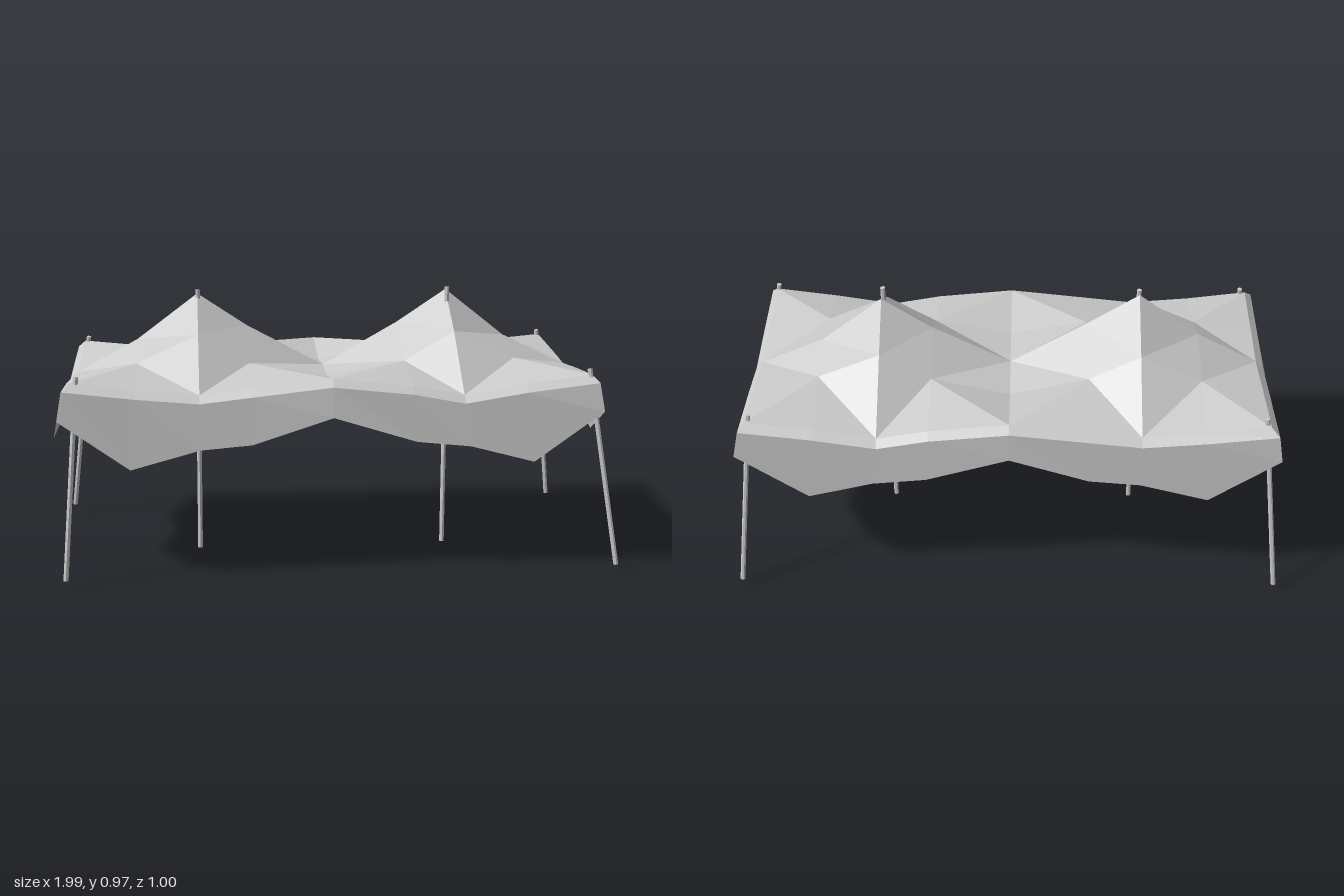
import * as THREE from 'three';

const V = (x, y, z) => new THREE.Vector3(x, y, z);
const metal = new THREE.MeshStandardMaterial({ color: 0xcccccc, flatShading: true });
const cloth = new THREE.MeshStandardMaterial({ color: 0xcccccc, flatShading: true, side: THREE.DoubleSide });

// Roof grid: columns along x, rows from back to front
const X = [-0.92, -0.7, -0.48, -0.3, -0.02, 0.26, 0.44, 0.66, 0.89];
const MID = [0.01, 0.01, 0.01, 0.01, -0.015, -0.03, -0.03, -0.03, -0.02];
const H = [
  [0.71, 0.68, 0.66, 0.68, 0.71, 0.68, 0.645, 0.68, 0.71],
  [0.69, 0.73, 0.83, 0.735, 0.665, 0.73, 0.83, 0.735, 0.69],
  [0.67, 0.79, 0.955, 0.835, 0.68, 0.835, 0.955, 0.78, 0.67],
  [0.69, 0.73, 0.83, 0.725, 0.675, 0.725, 0.83, 0.73, 0.69],
  [0.71, 0.68, 0.66, 0.68, 0.71, 0.68, 0.645, 0.68, 0.71],
];
const roofPoint = (i, j) => V(X[i], H[j][i], [-0.44, -0.2, MID[i], 0.18, 0.42][j]);

function clothMesh(name, points) {
  const mesh = new THREE.Mesh(new THREE.BufferGeometry().setFromPoints(points), cloth);
  mesh.geometry.computeVertexNormals();
  mesh.name = name;
  return mesh;
}

// Two-peaked roof; the fold direction alternates from cell to cell
function makeRoof() {
  const pts = [];
  for (let j = 0; j < 4; j++) {
    for (let i = 0; i < 8; i++) {
      const a = roofPoint(i, j), b = roofPoint(i + 1, j);
      const c = roofPoint(i + 1, j + 1), d = roofPoint(i, j + 1);
      const outerRow = j === 0 || j === 3;
      const byPeak = [1, 2, 5, 6].includes(i);
      // Folds leave the odd column on the inner or outer row of the cell
      const oddOnTop = (j >= 2) === (outerRow || byPeak);
      const oddLeft = i % 2 === 1;
      if (oddLeft === oddOnTop) pts.push(a, d, c, a, c, b);
      else pts.push(a, d, b, b, d, c);
    }
  }
  return clothMesh('roof', pts);
}

// Perimeter of the roof as [column, row], counter-clockwise from above
function perimeter() {
  const loop = [];
  for (let i = 0; i < 8; i++) loop.push([i, 4]);
  for (let j = 4; j > 0; j--) loop.push([8, j]);
  for (let i = 8; i > 0; i--) loop.push([i, 0]);
  for (let j = 0; j < 4; j++) loop.push([0, j]);
  return loop;
}

// Sloping hem and hanging valance
function makeValance(loop) {
  const hemX = [-0.965, -0.72, -0.48, -0.3, -0.02, 0.27, 0.46, 0.685, 0.93];
  const hemZ = [-0.472, -0.225, -0.01, 0.215, 0.46];
  const sideHem = [0.585, 0.41, 0.475, 0.49, 0.58, 0.49, 0.47, 0.41, 0.58];
  const endHem = [0.585, 0.47, 0.525, 0.47, 0.585];
  const rightFlare = [-0.965, -0.975, -0.97, -0.998, -0.965];
  const leftFlare = [0.935, 0.962, 0.945, 0.945, 0.93];
  const edge = [], fold = [], hem = [];
  for (const [i, j] of loop) {
    const p = roofPoint(i, j), f = p.clone();
    const h = V(hemX[i], i % 8 ? sideHem[i] : endHem[j], hemZ[j]);
    f.y -= 0.026;
    if (i === 0) { f.x = -0.948; h.x = rightFlare[j]; }
    if (i === 8) { f.x = 0.914; h.x = leftFlare[j]; }
    if (j === 0) f.z = -0.465;
    if (j === 4) f.z = 0.446;
    edge.push(p); fold.push(f); hem.push(h);
  }
  const pts = [];
  const rings = [edge, fold, hem];
  for (let r = 0; r < 2; r++) {
    for (let k = 0; k < loop.length; k++) {
      const n = (k + 1) % loop.length;
      const a = rings[r][k], b = rings[r][n], c = rings[r + 1][n], d = rings[r + 1][k];
      pts.push(a, d, c, a, c, b);
    }
  }
  return clothMesh('valance', pts);
}

// Straight round bar between two points
function bar(name, from, to, radius) {
  const dir = to.clone().sub(from);
  const mesh = new THREE.Mesh(new THREE.CylinderGeometry(radius, radius, dir.length(), 7), metal);
  mesh.position.copy(from).addScaledVector(dir, 0.5);
  mesh.quaternion.setFromUnitVectors(V(0, 1, 0), dir.normalize());
  mesh.name = name;
  return mesh;
}

export function createModel() {
  const group = new THREE.Group();
  group.name = 'canopyTent';
  const loop = perimeter();
  group.add(makeRoof(), makeValance(loop));

  // Rope along the inside of the roof edge, from pole to pole
  const path = new THREE.CurvePath();
  const rope = loop.map(([i, j]) => roofPoint(i, j).multiply(V(0.983, 1, 0.965)).add(V(0, -0.012, 0)));
  rope.forEach((p, k) => path.add(new THREE.LineCurve3(p, rope[(k + 1) % rope.length])));
  const edgeRope = new THREE.Mesh(new THREE.TubeGeometry(path, 120, 0.009, 6, true), metal);
  edgeRope.name = 'edgeRope';
  group.add(edgeRope);

  // Splayed corner poles
  group.add(
    bar('backRightPole', V(-0.987, 0.03, -0.49), V(-0.905, 0.73, -0.42), 0.009),
    bar('backLeftPole', V(0.955, 0.03, -0.492), V(0.878, 0.73, -0.422), 0.009),
    bar('frontRightPole', V(-0.95, 0.03, 0.49), V(-0.898, 0.73, 0.412), 0.009),
    bar('frontLeftPole', V(0.988, 0.03, 0.473), V(0.882, 0.73, 0.418), 0.009),
  );

  // Centre poles under the two peaks
  group.add(
    bar('rightCentrePole', V(-0.485, 0, 0.045), V(-0.478, 0.97, 0.02), 0.009),
    bar('leftCentrePole', V(0.43, 0, 0.042), V(0.438, 0.97, 0.022), 0.009),
  );
  return group;
}
